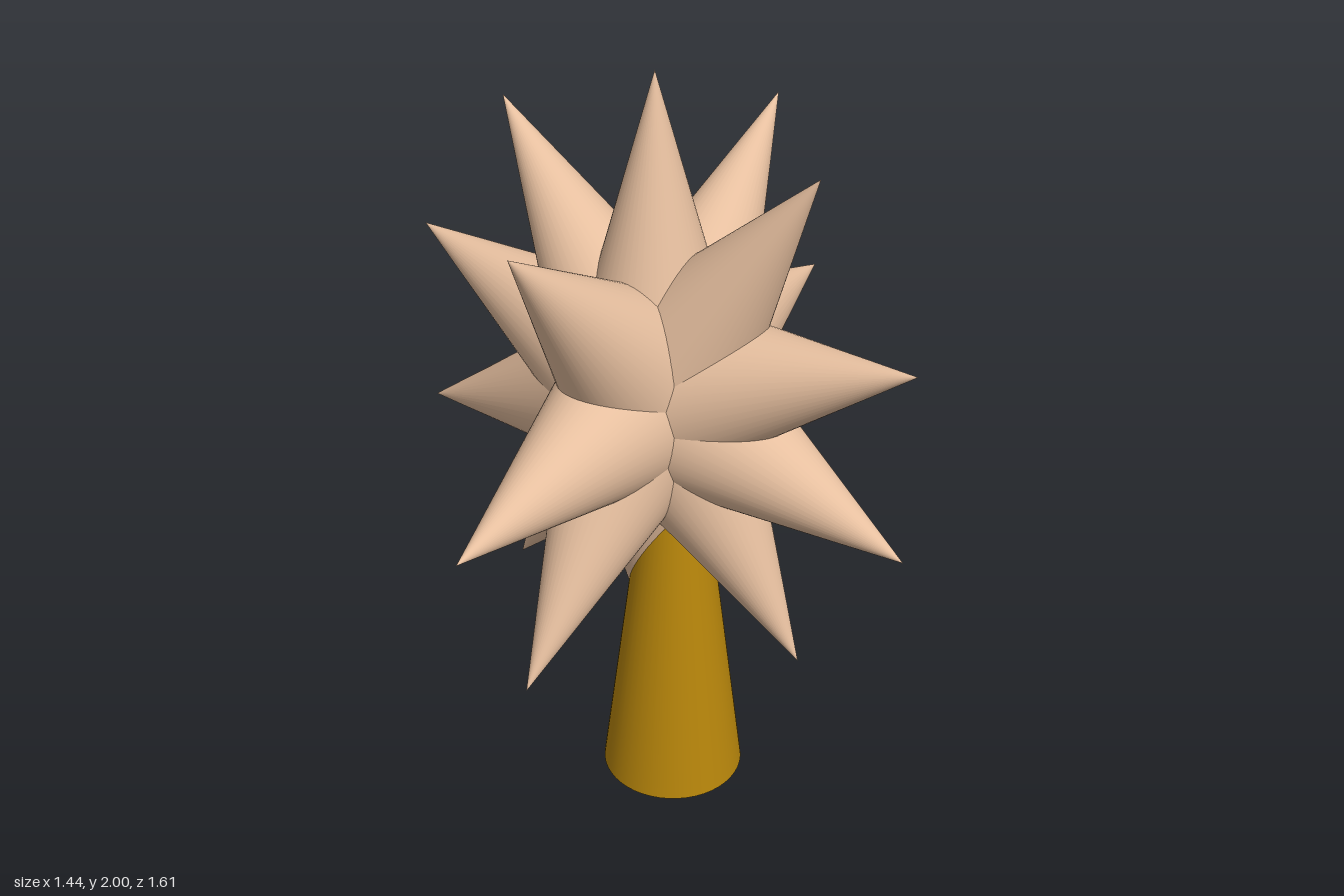
import * as THREE from 'three';

export function createModel() {
  const model = new THREE.Group();
  model.name = 'spikedClub';
  const spikeMaterial = new THREE.MeshStandardMaterial({ color: 0xe6bf9f });
  const handleMaterial = new THREE.MeshStandardMaterial({ color: 0xb8860b });

  // Tapered handle, set slightly off the centre of the head
  const handle = new THREE.Mesh(new THREE.CylinderGeometry(0.068, 0.19, 1, 48), handleMaterial);
  handle.name = 'handle';
  handle.position.set(0.07, 0.5, 0.015);
  model.add(handle);

  // Head: unit-length spikes around one centre, squashed slightly in x and z
  const head = new THREE.Group();
  head.name = 'spikedHead';
  head.position.y = 1.16;
  head.scale.set(0.757, 0.84, 0.806);
  model.add(head);

  // Cone with its base a little way out from the centre and its tip at 1
  const base = 0.22;
  const cone = new THREE.ConeGeometry(0.236, 1 - base, 48);
  cone.translate(0, (1 + base) / 2, 0);
  const up = new THREE.Vector3(0, 1, 0);
  function addSpike(name, x, y, z) {
    const spike = new THREE.Mesh(cone, spikeMaterial);
    spike.name = name;
    spike.quaternion.setFromUnitVectors(up, new THREE.Vector3(x, y, z).normalize());
    head.add(spike);
  }

  // Ring of ten spikes facing the front
  for (let i = 0; i < 10; i++) {
    const a = (i * Math.PI) / 5;
    addSpike('ringSpike', Math.sin(a), Math.cos(a), 0);
  }

  // Front and back spikes; the front middle one droops slightly
  for (const z of [1, -1]) {
    const side = z > 0 ? 'front' : 'back';
    addSpike(side + 'UpperSpike', 0, 1, z);
    addSpike(side + 'MiddleSpike', 0, z > 0 ? -0.089 : 0, z);
    addSpike(side + 'LowerSpike', 0, -1, z);
  }
  return model;
}
